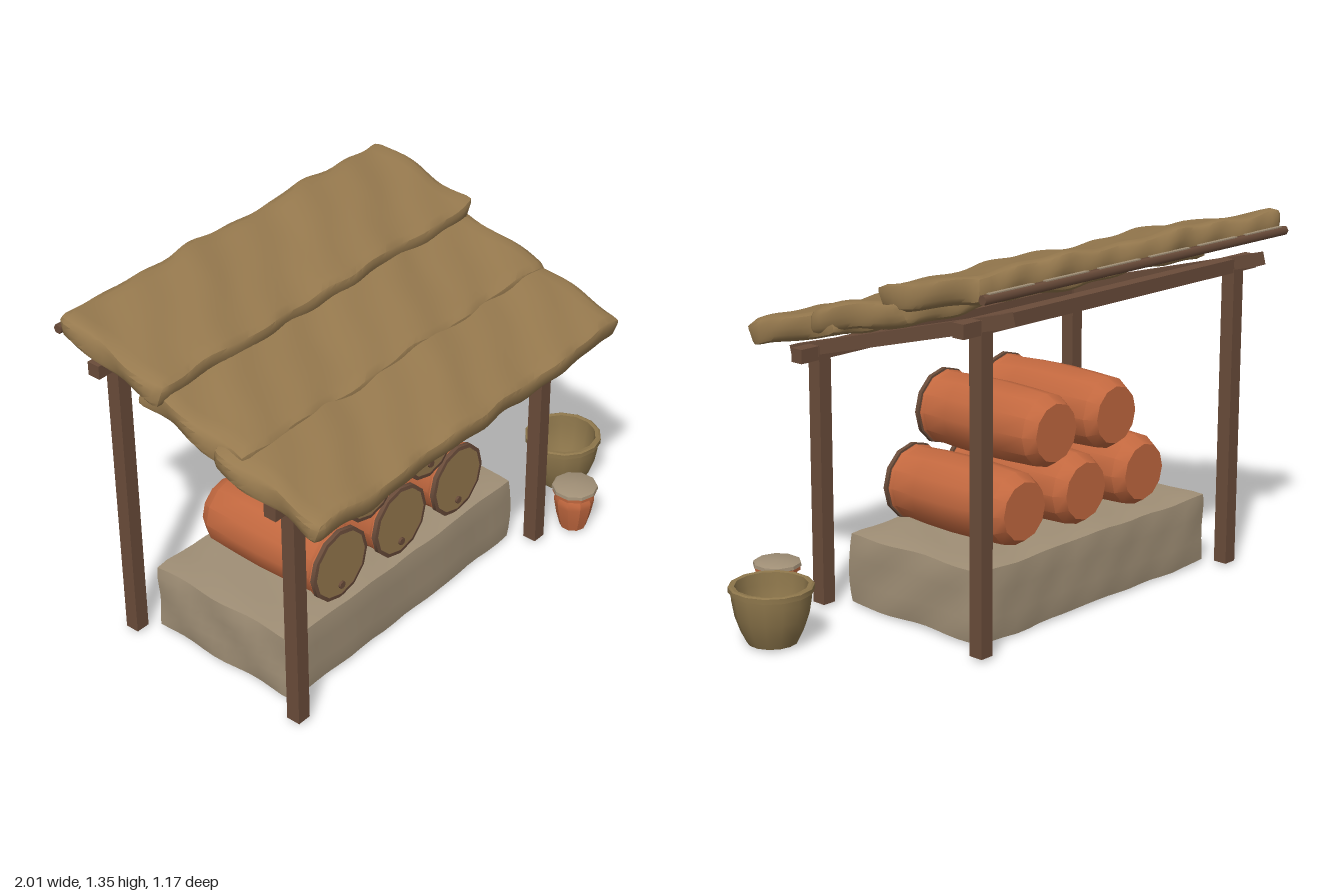
import * as THREE from 'three';
import { mergeVertices, toCreasedNormals } from 'three/addons/utils/BufferGeometryUtils.js';

const mat = (name, color, side = THREE.FrontSide) => {
  const m = new THREE.MeshStandardMaterial({ color, side });
  m.name = name;
  return m;
};

// Box with softened edges and a gentle hand-made wobble
function softBox(w, h, d, r, seg, wobble, seed) {
  let g = new THREE.BoxGeometry(w, h, d, ...seg);
  g.deleteAttribute('normal');
  g.deleteAttribute('uv');
  g = mergeVertices(g);
  const p = g.attributes.position, v = new THREE.Vector3();
  const lim = new THREE.Vector3(w / 2 - r, h / 2 - r, d / 2 - r);
  for (let i = 0; i < p.count; i++) {
    v.fromBufferAttribute(p, i);
    const inner = v.clone().clamp(lim.clone().negate(), lim);
    const out = v.clone().sub(inner);
    if (out.length() > r) out.setLength(r);
    const { x, y, z } = v;
    v.copy(inner).add(out);
    v.x += wobble * Math.sin(z * 19 + y * 23 + seed * 2.1);
    v.y += wobble * (0.6 * Math.sin(x * 9 + seed * 3 + z * 5) + 0.4 * Math.sin(x * 23 + z * 17 + seed));
    v.z += wobble * (0.5 * Math.sin(x * 13 + seed * 5) + 0.3 * Math.sin(x * 31 + y * 20 + seed));
    p.setXYZ(i, v.x, v.y, v.z);
  }
  return toCreasedNormals(g, 0.7);
}

const lathe = (pts, sides) => toCreasedNormals(
  new THREE.LatheGeometry(pts.map(([r, y]) => new THREE.Vector2(r, y)), sides), 0.56);

export function createModel() {
  const root = new THREE.Group();
  root.name = 'barrelShelter';
  const thatch = mat('thatch tan', 0x96794e);
  const clay = mat('terracotta', 0xc2683f);
  const wood = mat('dark wood', 0x6a4c3a);
  const stone = mat('stone', 0xa08f76);
  const tanClay = mat('tan pottery', 0x8d764b, THREE.DoubleSide);

  const add = (name, geo, material, x, y, z, parent = root) => {
    const m = new THREE.Mesh(geo, material);
    m.name = name;
    m.position.set(x, y, z);
    parent.add(m);
    return m;
  };

  // Stone platform
  add('platform', softBox(1.22, 0.268, 0.64, 0.018, [20, 6, 12], 0.005, 1), stone, -0.19, 0.141, -0.058);

  // Posts and sloping rafters on both sides
  const slope = 0.26;
  for (const x of [-0.85, 0.476]) {
    add('frontPost', new THREE.BoxGeometry(0.054, 0.94, 0.054), wood, x, 0.483, 0.328);
    add('backPost', new THREE.BoxGeometry(0.054, 1.155, 0.054), wood, x, 0.59, -0.437);
    add('rafter', new THREE.BoxGeometry(0.05, 0.047, 1.04), wood, x, 1.045, -0.055).rotation.x = slope;
  }

  // Cross beams
  add('frontBeam', new THREE.BoxGeometry(1.54, 0.05, 0.05), wood, -0.187, 0.931, 0.328);
  add('backBeam', new THREE.BoxGeometry(1.54, 0.05, 0.05), wood, -0.187, 1.143, -0.437);

  // Overlapping thatch layers: width, centre x, y, z
  [[1.6, -0.198, 1.022, 0.345], [1.58, -0.19, 1.117, 0.01], [1.61, -0.192, 1.247, -0.32]].forEach(([w, x, y, z], i) => {
    const g = softBox(w, 0.092, 0.465, 0.03, [48, 4, 14], 0.011, i * 1.7 + 0.4);
    add('thatchLayer', g, thatch, x, y, z).rotation.x = 0.235;
  });

  // Ridge pole behind the roof with pale lengths between bindings
  const poleGeo = new THREE.CylinderGeometry(0.017, 0.017, 1.59, 6).rotateZ(Math.PI / 2);
  add('ridgePole', poleGeo, wood, -0.19, 1.265, -0.563);
  for (let i = 0; i < 6; i++) {
    const x = -0.853 + i * 0.265;
    add('poleStrip', new THREE.BoxGeometry(0.21, 0.004, 0.015), stone, x, 1.2815, -0.563);
  }

  // Barrels lying with their lids to the front
  const bodyGeo = lathe([[0, -0.32], [0.105, -0.32], [0.131, -0.277], [0.137, -0.15], [0.14, -0.04],
    [0.137, 0.09], [0.131, 0.19], [0.136, 0.205], [0.13, 0.214], [0, 0.214]], 12).rotateX(Math.PI / 2);
  const rimGeo = lathe([[0.126, 0.212], [0.14, 0.212], [0.14, 0.228], [0.126, 0.23], [0.126, 0.212]], 12)
    .rotateX(Math.PI / 2);
  const lidGeo = new THREE.CylinderGeometry(0.13, 0.13, 0.016, 12).rotateX(Math.PI / 2);
  const bungGeo = new THREE.CylinderGeometry(0.014, 0.014, 0.012, 8).rotateX(Math.PI / 2);
  for (const [x, y] of [[-0.508, 0.411], [-0.187, 0.411], [0.134, 0.411], [-0.348, 0.657], [-0.027, 0.657]]) {
    const barrel = new THREE.Group();
    barrel.name = 'barrel';
    barrel.position.set(x, y, 0);
    add('barrelBody', bodyGeo, clay, 0, 0, 0, barrel);
    add('barrelRim', rimGeo, wood, 0, 0, 0, barrel);
    add('barrelLid', lidGeo, thatch, 0, 0, 0.22, barrel);
    add('bung', bungGeo, wood, 0, -0.086, 0.231, barrel);
    root.add(barrel);
  }

  // Large open pot
  add('largePot', lathe([[0, 0.01], [0.088, 0.01], [0.108, 0.05], [0.127, 0.105], [0.137, 0.165], [0.138, 0.19],
    [0.147, 0.192], [0.147, 0.21], [0.14, 0.214], [0.126, 0.212], [0.122, 0.17], [0.11, 0.1], [0.085, 0.05],
    [0, 0.045]], 14), tanClay, 0.853, 0, 0.18);

  // Small covered jar
  add('smallJar', lathe([[0, 0.01], [0.05, 0.01], [0.064, 0.06], [0.074, 0.115], [0.075, 0.135], [0.068, 0.152],
    [0.082, 0.16], [0.083, 0.177], [0, 0.177]], 10), clay, 0.635, 0, 0.395);
  add('jarCover', lathe([[0.08, 0.172], [0.087, 0.176], [0.085, 0.188], [0.075, 0.193], [0, 0.194]], 10),
    stone, 0.635, 0, 0.395);

  return root;
}
